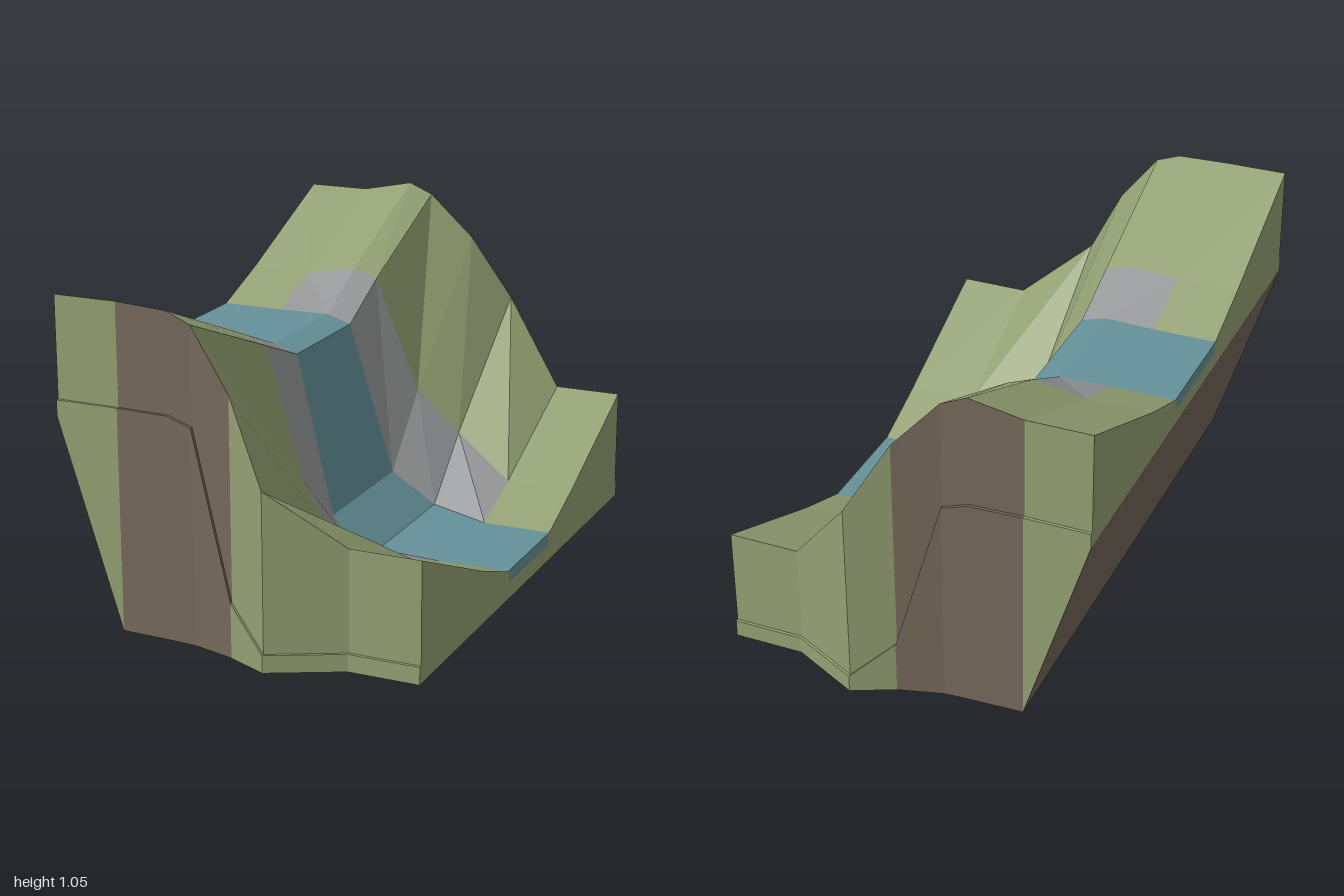
import * as THREE from 'three';

// Stations along x: water level, bank crest front/back, outer edge z, water half width, underside y
const keys = ['x', 'water', 'front', 'back', 'edge', 'half', 'base'];
const stations = [
  [-0.585, 0.74, 1.02, 1.02, 0.88, 0.19, 0.65],
  [-0.38, 0.74, 1.02, 1.02, 0.88, 0.19, 0],
  [-0.21, 0.74, 1.012, 1.055, 0.887, 0.197, 0],
  [-0.13, 0.715, 0.98, 1.02, 0.892, 0.2, 0],
  [0.01, 0.21, 0.80, 0.87, 0.93, 0.235, 0],
  [0.14, 0.095, 0.55, 0.65, 0.99, 0.29, 0],
  [0.36, 0.095, 0.375, 0.375, 0.88, 0.19, 0],
  [0.585, 0.095, 0.375, 0.375, 0.88, 0.19, 0],
].map(row => Object.fromEntries(row.map((v, i) => [keys[i], v])));

const DEPTH = 0.04, LEDGE = 0.01;
const mat = color => new THREE.MeshStandardMaterial({ color, flatShading: true, side: THREE.DoubleSide });
const grass = mat(0x93a073), dirt = mat(0x75685a), rock = mat(0x959697), water = mat(0x659199);

// Cross-section points of one bank, from the underside up and in to the water
function section(s, side) {
  const crest = side > 0 ? s.front : s.back;
  const t = s.x > 0.3 || s.x < -0.3 ? 0.28 : side > 0 ? 0.31 : 0.345;
  const lip = s.water - DEPTH;
  const p = (z, y) => new THREE.Vector3(s.x, y, side * z);
  return [
    p(s.edge + LEDGE, s.base),
    p(s.edge + LEDGE, lip),
    p(s.edge, lip),
    p(s.edge, crest),
    p(s.half + 0.213, s.water + t * (crest - s.water)),
    p(s.half, s.water),
  ];
}

// Mesh of quads between two rows of points; outward when row a lies at larger z
function strip(name, material, a, b, flip = false) {
  const pos = [];
  const tri = (p, q, r) => (flip ? [p, r, q] : [p, q, r]).forEach(v => pos.push(v.x, v.y, v.z));
  for (let i = 0; i < a.length - 1; i++) {
    tri(a[i], a[i + 1], b[i + 1]);
    tri(a[i], b[i + 1], b[i]);
  }
  const geo = new THREE.BufferGeometry();
  geo.setAttribute('position', new THREE.Float32BufferAttribute(pos, 3));
  geo.computeVertexNormals();
  const mesh = new THREE.Mesh(geo, material);
  mesh.name = name;
  return mesh;
}

// Flat end wall, notched where the water runs out
function endCap(s, dir) {
  const bed = side => new THREE.Vector3(s.x, s.water - DEPTH, side * 0.178);
  const brim = side => new THREE.Vector3(s.x, s.water, side * 0.178);
  const loop = [...section(s, 1), brim(1), bed(1), bed(-1), brim(-1), ...section(s, -1).reverse()];
  const geo = new THREE.ShapeGeometry(new THREE.Shape(loop.map(p => new THREE.Vector2(-dir * p.z, p.y))));
  geo.rotateY(dir * Math.PI / 2).translate(s.x, 0, 0);
  const wall = new THREE.Mesh(geo, grass);
  wall.name = 'endWall';
  const mouth = strip('waterMouth', water, [bed(1), bed(-1)], [brim(1), brim(-1)], dir < 0);
  return [wall, mouth];
}

export function createModel() {
  const group = new THREE.Group();
  group.name = 'waterfallTerrain';

  for (const side of [1, -1]) {
    const rows = stations.map(s => section(s, side));
    const flip = side < 0;
    const part = (name, material, k, from, to) => {
      const cut = rows.slice(from, to + 1);
      group.add(strip(name, material, cut.map(r => r[k]), cut.map(r => r[k + 1]), flip));
    };
    // Outer wall in three stretches, with a dirt seam in the middle
    for (const [from, to, m] of [[0, 1, grass], [1, 4, dirt], [4, 7, grass]]) {
      part('lowerWall', m, 0, from, to);
      part('ledge', m, 1, from, to);
      part('upperWall', m, 2, from, to);
    }
    // Sloping bank and the shore beside the stream
    part('grassBank', grass, 3, 0, 7);
    part('grassShore', grass, 4, 0, 1);
    part('rockShore', rock, 4, 1, 6);
    part('grassShore', grass, 4, 6, 7);
  }

  // Stream surface, falling in the middle
  const line = (k, side) => stations.map(s => section(s, side)[k]);
  group.add(strip('stream', water, line(5, 1), line(5, -1)));

  // Underside, slanting up beneath the high end
  group.add(strip('underside', dirt, line(0, 1), line(0, -1), true));

  group.add(...endCap(stations[7], 1), ...endCap(stations[0], -1));
  return group;
}
